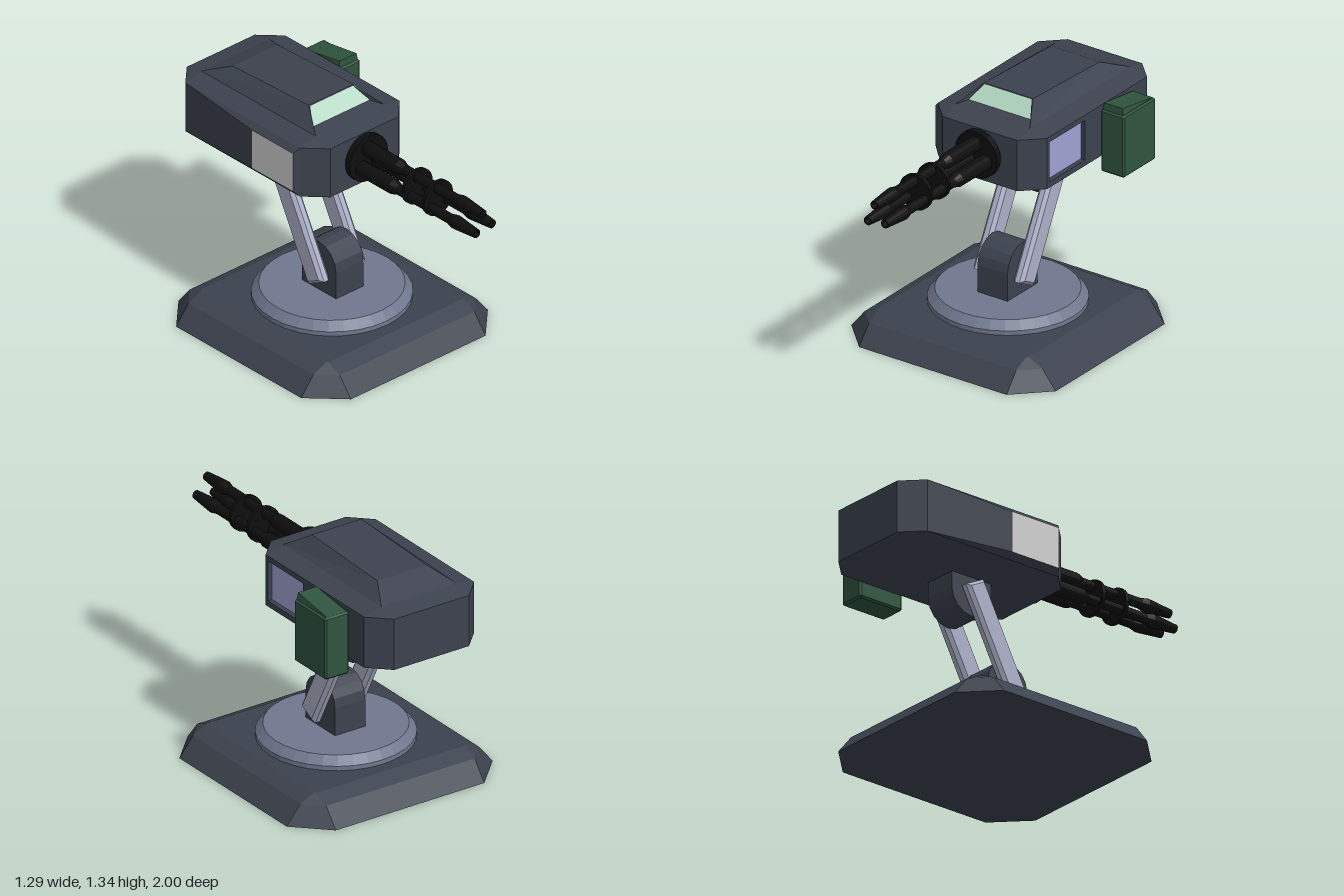
import * as THREE from 'three';

const mat = (name, color) => {
  const m = new THREE.MeshStandardMaterial({ color });
  m.name = name;
  m.flatShading = true;
  return m;
};

// Flat-faced geometry from quads, corners counter-clockwise seen from outside
function fromQuads(quads) {
  const p = [];
  for (const [a, b, c, d] of quads) p.push(...a, ...b, ...c, ...a, ...c, ...d);
  const g = new THREE.BufferGeometry();
  g.setAttribute('position', new THREE.Float32BufferAttribute(p, 3));
  g.computeVertexNormals();
  return g;
}

// Rectangle with corners cut by b; y may depend on z. b = 0 gives a plain rectangle
function ring(cx, cz, b, y, x0, z0) {
  const pts = [[cx + b, cz], [cx + b, -cz], [cx, -cz - b], [-cx, -cz - b],
    [-cx - b, -cz], [-cx - b, cz], [-cx, cz + b], [cx, cz + b]];
  return pts.map(([x, z]) => [x0 + x, typeof y === 'function' ? y(z0 + z) : y, z0 + z]);
}

// Skin between rings with end caps; "level:edge" entries in skip stay open
function loft(rings, skip = []) {
  const quads = [], n = rings[0].length;
  for (let l = 0; l < rings.length - 1; l++) {
    for (let i = 0; i < n; i++) {
      if (skip.includes(l + ':' + i)) continue;
      const j = (i + 1) % n;
      quads.push([rings[l][i], rings[l][j], rings[l + 1][j], rings[l + 1][i]]);
    }
  }
  const bot = rings[0], top = rings[rings.length - 1];
  for (let i = 1; i < n - 1; i += 2) {
    quads.push([top[0], top[i], top[i + 1], top[(i + 2) % n]]);
    quads.push([bot[0], bot[(i + 2) % n], bot[i + 1], bot[i]]);
  }
  return fromQuads(quads);
}

// Four quads joining an outer and an inner rectangle
const frame = (o, n) => o.map((p, i) => [p, o[(i + 1) % 4], n[(i + 1) % 4], n[i]]);
const sideRect = (x, y0, y1, zf, zr) => x > 0
  ? [[x, y0, zf], [x, y0, zr], [x, y1, zr], [x, y1, zf]]
  : [[x, y0, zr], [x, y0, zf], [x, y1, zf], [x, y1, zr]];

export function createModel() {
  const model = new THREE.Group();
  model.name = 'turret';
  const body = mat('dark slate', 0x3c424e);
  const steel = mat('blue steel', 0x70788e);
  const strut = mat('pale lilac steel', 0xadb1c9);
  const black = mat('gun black', 0x0e0e0e);
  const green = mat('ammo green', 0x2f543e);
  const mint = mat('mint glass', 0xb4d8c4);
  const lilac = mat('lilac panel', 0xa2a3d4);
  const grey = mat('grey panel', 0xcfcfcf);

  const add = (name, geo, material, parent = model) => {
    const m = new THREE.Mesh(geo, material);
    m.name = name;
    parent.add(m);
    return m;
  };

  // Bevelled base plate
  add('base', loft([
    ring(0.465, 0.475, 0.18, 0, 0, -0.155),
    ring(0.465, 0.475, 0.095, 0.105, 0, -0.155),
    ring(0.465, 0.475, 0.01, 0.145, 0, -0.155),
  ]), body);

  // Turntable
  const disc = [[0, 0.14], [0.415, 0.14], [0.415, 0.17], [0.375, 0.215], [0, 0.215]];
  add('turntable', new THREE.LatheGeometry(disc.map(p => new THREE.Vector2(...p)), 32), steel)
    .position.z = -0.155;

  // Pivot blocks: square at one end, rounded at the other
  const pivot = (name, z, yFlat, yArc, dir) => {
    const r = 0.13, s = new THREE.Shape();
    s.moveTo(z - r, yFlat);
    s.lineTo(z + r, yFlat);
    for (let i = 0; i <= 8; i++) {
      const a = i * Math.PI / 8;
      s.lineTo(z + r * Math.cos(a), yArc + dir * r * Math.sin(a));
    }
    const g = new THREE.ExtrudeGeometry(s, { depth: 0.19, bevelEnabled: false });
    g.rotateY(-Math.PI / 2).translate(0.095, 0, 0);
    add(name, g, body);
  };
  pivot('lowerPivot', -0.15, 0.21, 0.37, 1);
  pivot('upperPivot', -0.39, 0.91, 0.818, -1);

  // Pair of slanted, bevelled support arms
  const bv = 0.018, w = 0.065 - bv, h = 0.322 - bv;
  const armShape = new THREE.Shape([[-w, -h], [w, -h], [w, h], [-w, h]]
    .map(p => new THREE.Vector2(...p)));
  const armGeo = new THREE.ExtrudeGeometry(armShape, {
    depth: 0.065 - 2 * bv, bevelThickness: bv, bevelSize: bv, bevelSegments: 1,
  });
  armGeo.translate(0, 0, -(0.065 - 2 * bv) / 2).rotateY(-Math.PI / 2);
  for (const side of [1, -1]) {
    const arm = add(side > 0 ? 'leftArm' : 'rightArm', armGeo, strut);
    arm.position.set(side * 0.1275, 0.574, -0.262);
    arm.rotation.x = -0.475;
  }

  // Head shell with raised roof, open where the windows sit
  const head = new THREE.Group();
  head.name = 'head';
  model.add(head);
  const roofY = z => 1.335 - 0.025 * (-0.16 - z) / 0.58;
  add('headShell', loft([
    ring(0.235, 0.435, 0, 0.905, 0, -0.455),
    ring(0.235, 0.435, 0.11, 0.93, 0, -0.455),
    ring(0.235, 0.435, 0.11, 1.22, 0, -0.455),
    ring(0.235, 0.435, 0, 1.245, 0, -0.455),
    ring(0.155, 0.29, 0, roofY, 0, -0.45),
  ], ['1:0', '1:4', '3:6']), body, head);

  // Sunken windscreen
  const screenOuter = [[-0.235, 1.245, -0.02], [0.235, 1.245, -0.02], [0.155, 1.335, -0.16], [-0.155, 1.335, -0.16]];
  const screen = [[-0.198, 1.257, -0.085], [0.198, 1.257, -0.085], [0.148, 1.33, -0.157], [-0.148, 1.33, -0.157]];
  add('windscreenFrame', fromQuads(frame(screenOuter, screen)), body, head);
  add('windscreen', fromQuads([screen]), mint, head);

  // Recessed panel on one side, bulging panel on the other
  const rim = sideRect(0.345, 0.962, 1.19, -0.04, -0.35);
  const recess = sideRect(0.318, 0.962, 1.19, -0.04, -0.35);
  add('leftPanelFrame', fromQuads([
    ...frame(sideRect(0.345, 0.93, 1.22, -0.02, -0.89), rim), ...frame(rim, recess),
  ]), body, head);
  add('leftPanel', fromQuads([recess]), lilac, head);
  const bulge = sideRect(-0.374, 0.962, 1.19, -0.04, -0.35);
  add('rightPanelFrame', fromQuads(frame(sideRect(-0.345, 0.93, 1.22, -0.02, -0.89), bulge)), body, head);
  add('rightPanel', fromQuads([bulge]), grey, head);

  // Ammunition box with a wedge lid
  const lidY = z => 1.197 + 0.04 * (z + 0.755) / 0.26;
  add('ammoBox', loft([
    ring(0.065, 0.13, 0, 0.845, 0.42, -0.622),
    ring(0.065, 0.13, 0.01, 0.855, 0.42, -0.622),
    ring(0.065, 0.13, 0.01, 1.19, 0.42, -0.622),
    ring(0.065, 0.13, 0, 1.198, 0.42, -0.622),
    ring(0.058, 0.128, 0, lidY, 0.42, -0.622),
  ]), green);

  // Three-barrel gun pointing forwards
  const gun = new THREE.Group();
  gun.name = 'gun';
  gun.position.set(0, 1.083, 0);
  model.add(gun);
  const plate = (name, r, z, t) => add(name,
    new THREE.CylinderGeometry(r, r, t, 24).rotateX(Math.PI / 2), black, gun).position.z = z;
  plate('gunMount', 0.132, 0.105, 0.04);
  plate('rearClamp', 0.1, 0.49, 0.02);
  plate('frontClamp', 0.1, 0.645, 0.02);
  const profile = [[0, 0.1], [0.042, 0.1], [0.042, 0.37], [0.028, 0.41], [0.028, 0.8],
    [0.038, 0.84], [0.036, 0.87], [0.024, 1], [0.017, 1], [0.017, 0.93], [0, 0.93]];
  const barrelGeo = new THREE.LatheGeometry(profile.map(p => new THREE.Vector2(...p)), 14)
    .rotateX(Math.PI / 2);
  for (let i = 0; i < 3; i++) {
    const a = 1.7 + i * Math.PI * 2 / 3;
    add('barrel' + (i + 1), barrelGeo, black, gun)
      .position.set(0.063 * Math.cos(a), 0.063 * Math.sin(a), 0);
  }
  return model;
}
